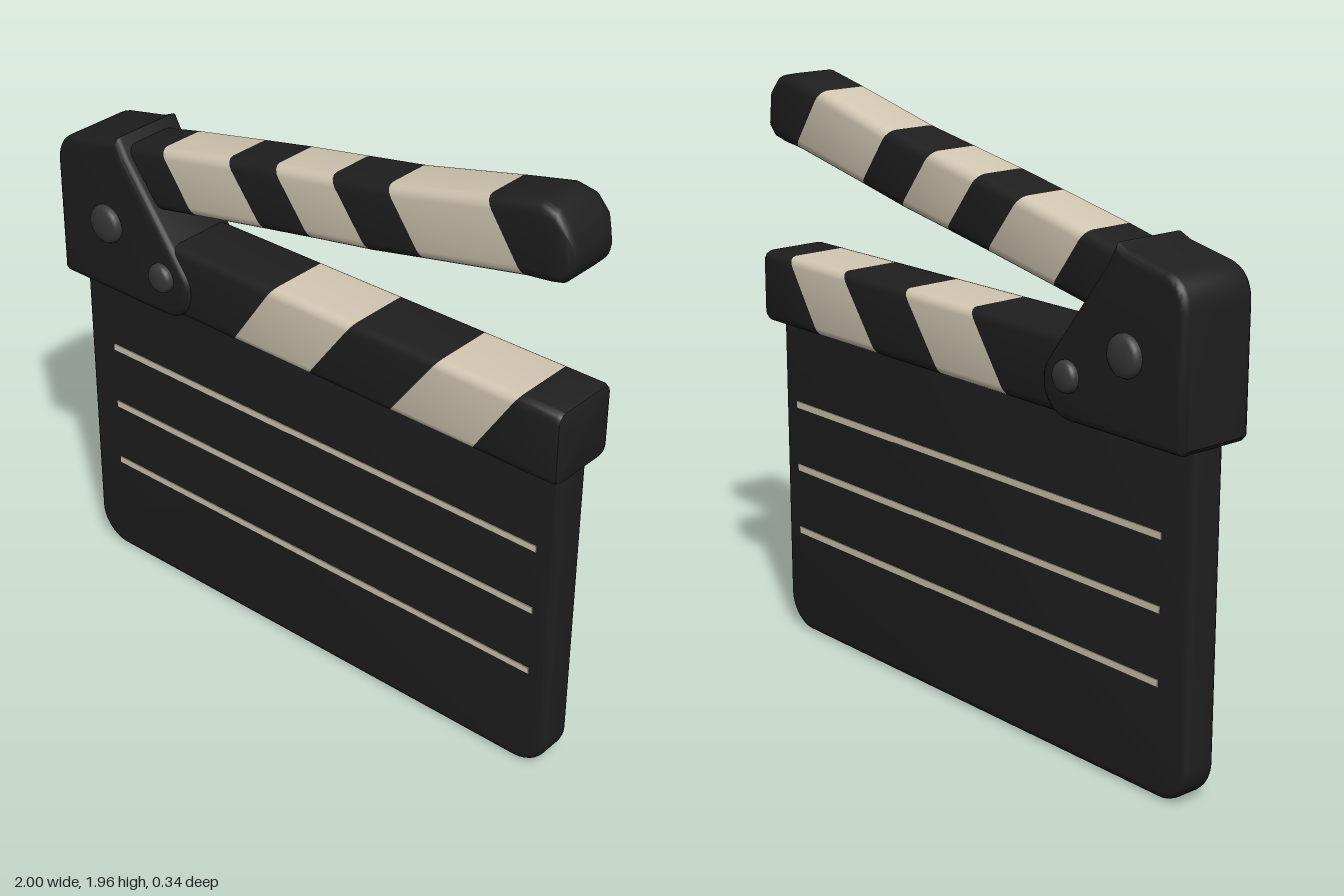
import * as THREE from 'three';
import { toCreasedNormals } from 'three/addons/utils/BufferGeometryUtils.js';

const black = new THREE.MeshStandardMaterial({ color: 0x1f1f1f });
black.name = 'matteBlack';
const cream = new THREE.MeshStandardMaterial({ color: 0xd2c7b2 });
cream.name = 'cream';
const grey = new THREE.MeshStandardMaterial({ color: 0x383838 });
grey.name = 'boltGrey';

function add(parent, name, geometry, material) {
  const mesh = new THREE.Mesh(geometry, material);
  mesh.name = name;
  parent.add(mesh);
  return mesh;
}

// Extruded plate with softened edges, centred on z = 0
function plate(shape, thickness, bevel) {
  const g = new THREE.ExtrudeGeometry(shape, {
    depth: thickness - 2 * bevel, bevelThickness: bevel, bevelSize: bevel,
    bevelOffset: -bevel, bevelSegments: 4, curveSegments: 10,
  });
  g.translate(0, 0, -thickness / 2 + bevel);
  return toCreasedNormals(g, 0.7);
}

// Rounded rectangle section: v runs 0 (bottom) to 1 (top), z is the half width
function section(height, halfWidth, r) {
  const pts = [];
  for (let c = 0; c < 4; c++) {
    const cy = (c === 0 || c === 3 ? 1 : -1) * (height / 2 - r);
    const cz = (c < 2 ? 1 : -1) * (halfWidth - r);
    for (let k = 0; k <= 4; k++) {
      const a = (c + k / 4) * Math.PI / 2;
      pts.push([(cy + r * Math.cos(a)) / height + 0.5, cz + r * Math.sin(a)]);
    }
  }
  return pts;
}

// Loft through slanted stations [xBottom, yBottom, xTop, yTop, widthScale]
function loft(stations, profile, capStart, capEnd) {
  const rings = stations.map(([xb, yb, xt, yt, w = 1]) => profile.map(([v, z]) =>
    [xb + (xt - xb) * v, yb + (yt - yb) * v, z * w]));
  const out = [], n = profile.length;
  const tri = (...p) => p.forEach(q => out.push(...q));
  for (let i = 0; i < rings.length - 1; i++) {
    for (let j = 0; j < n; j++) {
      const k = (j + 1) % n;
      const a = rings[i][j], b = rings[i][k], c = rings[i + 1][k], d = rings[i + 1][j];
      tri(a, b, c);
      tri(a, c, d);
    }
  }
  const cap = (s, ring, flip) => {
    const mid = [(s[0] + s[2]) / 2, (s[1] + s[3]) / 2, 0];
    for (let j = 0; j < n; j++) {
      const k = (j + 1) % n;
      tri(mid, ring[flip ? k : j], ring[flip ? j : k]);
    }
  };
  if (capStart) cap(stations[0], rings[0], true);
  if (capEnd) cap(stations.at(-1), rings.at(-1), false);
  const g = new THREE.BufferGeometry();
  g.setAttribute('position', new THREE.Float32BufferAttribute(out, 3));
  return toCreasedNormals(g, 0.7);
}

// Bar made of alternating black and cream pieces
function stripedBar(name, start, cuts, end, profile) {
  const bar = new THREE.Group();
  bar.name = name;
  for (let i = 0; i <= cuts.length; i++) {
    const first = i === 0, last = i === cuts.length;
    const st = [...(first ? start : [cuts[i - 1]]), ...(last ? end : [cuts[i]])];
    add(bar, i % 2 ? 'creamStripe' : 'blackStripe', loft(st, profile, first, last), i % 2 ? cream : black);
  }
  return bar;
}

export function createModel() {
  const model = new THREE.Group();
  model.name = 'clapperboard';

  // Slate board with rounded lower corners
  const L = -0.98, R = 0.975, r = 0.12;
  const board = new THREE.Shape();
  board.moveTo(L + r, 0);
  board.lineTo(R - r, 0);
  board.absarc(R - r, r, r, -Math.PI / 2, 0, false);
  board.lineTo(R, 1.16);
  board.lineTo(L, 1.16);
  board.lineTo(L, r);
  board.absarc(L + r, r, r, Math.PI, Math.PI * 1.5, false);
  add(model, 'slate', plate(board, 0.124, 0.025), black).position.z = -0.004;

  // Writing lines on both faces
  for (const y of [0.822, 0.596, 0.367]) {
    for (const z of [0.058, -0.066]) {
      add(model, 'writingLine', new THREE.BoxGeometry(1.76, 0.023, 0.006), cream).position.set(0.02, y, z);
    }
  }

  // Fixed lower clap stick
  const lowCut = (xb, xt) => [xb, 1.11, xt, 1.355];
  model.add(stripedBar('lowerStick',
    [lowCut(-0.96, -0.96)],
    [lowCut(-0.25, -0.08), lowCut(0.06, 0.24), lowCut(0.38, 0.56), lowCut(0.69, 0.85)],
    [lowCut(0.98, 0.98), [0.993, 1.116, 0.993, 1.349, 0.97], [0.998, 1.13, 0.998, 1.335, 0.88]],
    section(0.245, 0.125, 0.03)));

  // Raised upper clap stick with rounded tip
  model.add(stripedBar('upperStick',
    [[-0.64, 1.43, -0.8, 1.61]],
    [[-0.42, 1.473, -0.56, 1.665], [-0.13, 1.528, -0.28, 1.722], [0.06, 1.563, -0.09, 1.76],
      [0.28, 1.602, 0.13, 1.8], [0.48, 1.645, 0.34, 1.838], [0.83, 1.718, 0.69, 1.922]],
    [[0.91, 1.728, 0.86, 1.96], [0.95, 1.738, 0.92, 1.948], [0.975, 1.765, 0.96, 1.905, 0.95],
      [0.987, 1.8, 0.98, 1.855, 0.8]],
    section(0.225, 0.103, 0.035)));

  // Hinge bracket
  const hinge = new THREE.Shape();
  hinge.moveTo(-0.985, 1.1);
  hinge.lineTo(-0.53, 1.1);
  hinge.absarc(-0.53, 1.21, 0.11, -Math.PI / 2, 0.65, false);
  hinge.lineTo(-0.685, 1.6);
  hinge.lineTo(-0.72, 1.663);
  hinge.lineTo(-0.76, 1.645);
  hinge.lineTo(-0.92, 1.613);
  hinge.quadraticCurveTo(-0.998, 1.59, -0.998, 1.5);
  hinge.lineTo(-0.998, 1.115);
  add(model, 'hingeBracket', plate(hinge, 0.278, 0.025), black);

  // Domed bolts on both sides
  for (const [x, y, radius] of [[-0.775, 1.35, 0.066], [-0.535, 1.24, 0.05]]) {
    const profile = [[1, -0.01], [1, 0.01], [0.93, 0.02], [0.78, 0.028], [0.4, 0.032], [0, 0.033]]
      .map(([k, h]) => new THREE.Vector2(k * radius, h));
    for (const side of [1, -1]) {
      const bolt = add(model, 'bolt', new THREE.LatheGeometry(profile, 24), grey);
      bolt.position.set(x, y, side * 0.136);
      bolt.rotation.x = side * Math.PI / 2;
    }
  }
  return model;
}
